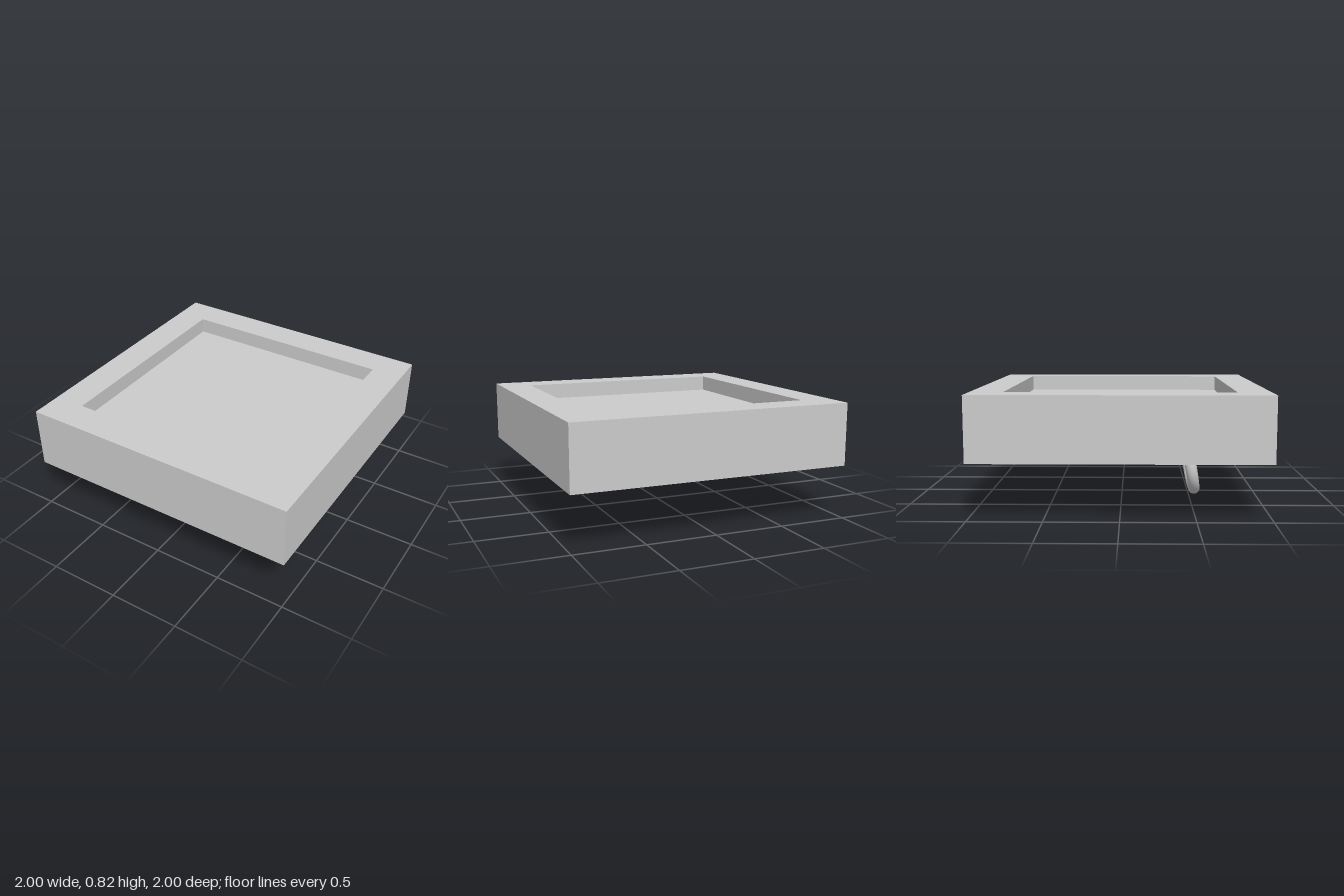
import * as THREE from 'three';
import { toCreasedNormals } from 'three/addons/utils/BufferGeometryUtils.js';

const material = new THREE.MeshStandardMaterial({ color: 0xcccccc });

function addPart(parent, name, geometry) {
  const mesh = new THREE.Mesh(geometry, material);
  mesh.name = name;
  parent.add(mesh);
  return mesh;
}

// Square outline of the given half size
function square(h, Type = THREE.Shape) {
  return new Type([[-h, -h], [h, -h], [h, h], [-h, h]].map(([x, y]) => new THREE.Vector2(x, y)));
}

// Closed oval: two straight runs joined by half circles, in the XY plane
class OvalCurve extends THREE.Curve {
  constructor(half, radius) {
    super();
    this.half = half;
    this.radius = radius;
  }
  getPoint(t, target = new THREE.Vector3()) {
    const { half: h, radius: r } = this;
    const run = 2 * h, arc = Math.PI * r;
    let d = (((t % 1) + 1) % 1) * 2 * (run + arc);
    const side = d < run + arc ? 1 : -1;
    if (side < 0) d -= run + arc;
    if (d < run) return target.set(side * (d - h), -side * r, 0);
    const a = (d - run) / r - Math.PI / 2;
    return target.set(side * (h + r * Math.cos(a)), side * r * Math.sin(a), 0);
  }
}

export function createModel() {
  const model = new THREE.Group();
  model.name = 'hatch';
  const bottom = 0.38, top = 0.825, opening = 0.773;

  // Thick square frame
  const outline = square(1);
  outline.holes.push(square(opening, THREE.Path));
  const frame = new THREE.ExtrudeGeometry(outline, { depth: top - bottom, bevelEnabled: false });
  frame.rotateX(-Math.PI / 2);
  addPart(model, 'frame', frame).position.y = bottom;

  // Panel recessed on both faces
  const panelBottom = 0.485, panelTop = 0.71;
  addPart(model, 'panel', new THREE.BoxGeometry(opening * 2, panelTop - panelBottom, opening * 2))
    .position.y = (panelTop + panelBottom) / 2;

  // Round-ended lug under the panel, holding the ring
  const lugRadius = 0.1, lugY = 0.425, lugZ = 0.48, lugWidth = 0.205;
  const profile = new THREE.Shape();
  profile.moveTo(lugRadius, panelBottom - lugY + 0.01);
  profile.lineTo(-lugRadius, panelBottom - lugY + 0.01);
  profile.lineTo(-lugRadius, 0);
  profile.absarc(0, 0, lugRadius, Math.PI, Math.PI * 2, false);
  const lug = new THREE.ExtrudeGeometry(profile, { depth: lugWidth, bevelEnabled: false, curveSegments: 24 });
  lug.translate(0, 0, -lugWidth / 2);
  lug.rotateY(Math.PI / 2);
  addPart(model, 'ringLug', toCreasedNormals(lug, 0.6)).position.set(0, lugY, lugZ);

  // Oval pull ring, hanging with a slight forward tilt
  const ring = addPart(model, 'pullRing',
    new THREE.TubeGeometry(new OvalCurve(0.1, 0.177), 128, 0.0425, 24, true));
  ring.position.set(0, 0.217, 0.511);
  ring.rotation.x = -0.17;

  return model;
}
